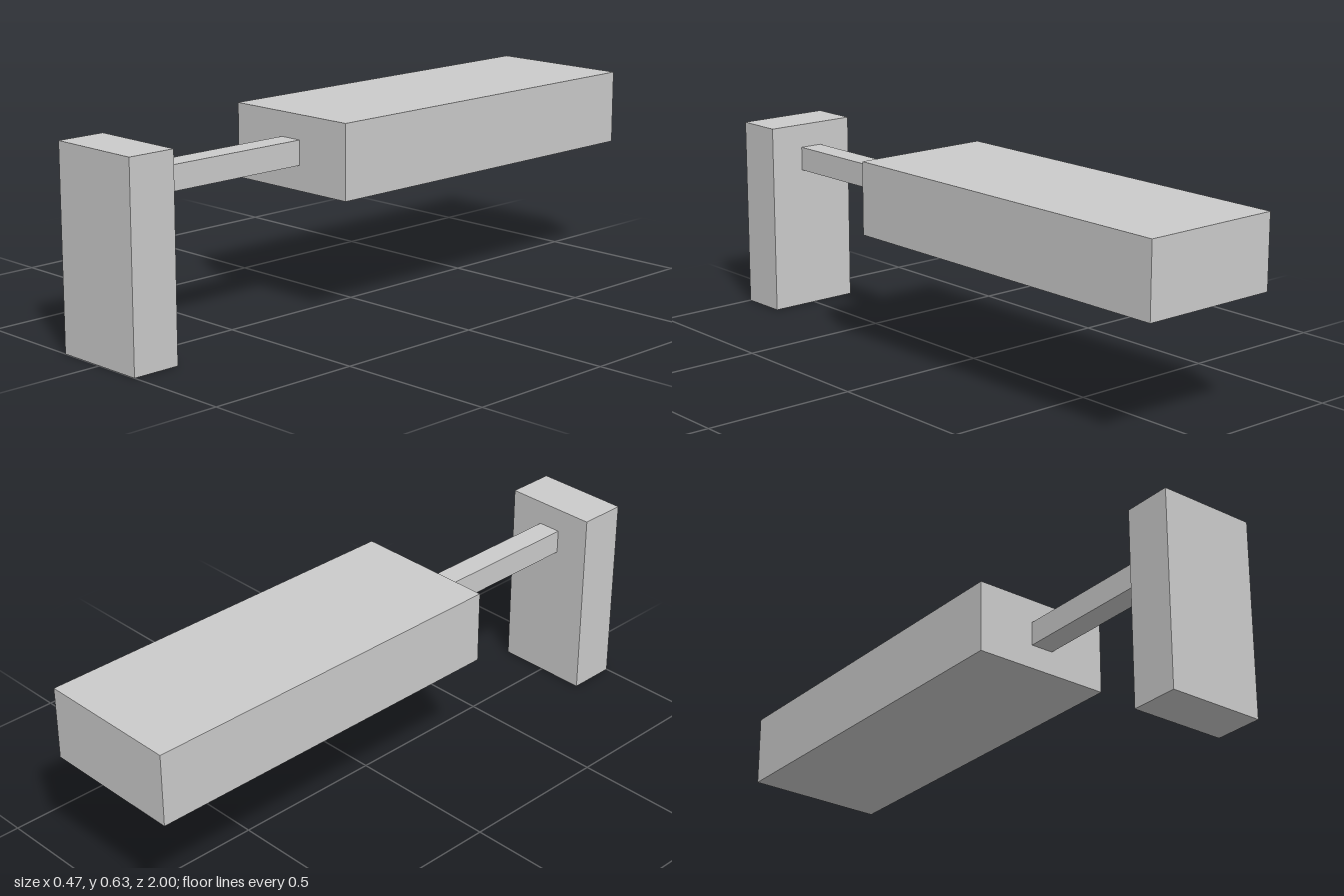
import * as THREE from 'three';

export function createModel() {
  const model = new THREE.Group();
  model.name = 'wallLamp';
  const material = new THREE.MeshStandardMaterial({ color: 0xcccccc, flatShading: true });

  // Box from its width (centred on x) and its y and z ranges
  function addBox(name, width, [y0, y1], [z0, z1]) {
    const mesh = new THREE.Mesh(new THREE.BoxGeometry(width, y1 - y0, z1 - z0), material);
    mesh.name = name;
    mesh.position.set(0, (y0 + y1) / 2, (z0 + z1) / 2);
    model.add(mesh);
  }

  // Upright mounting plate at the front
  addBox('mountingPlate', 0.314, [0, 0.627], [0.843, 1]);
  // Thin square arm joining the plate to the head
  addBox('arm', 0.078, [0.471, 0.549], [0.255, 0.843]);
  // Long flat lamp head
  addBox('lampHead', 0.471, [0.392, 0.627], [-1, 0.255]);

  return model;
}
